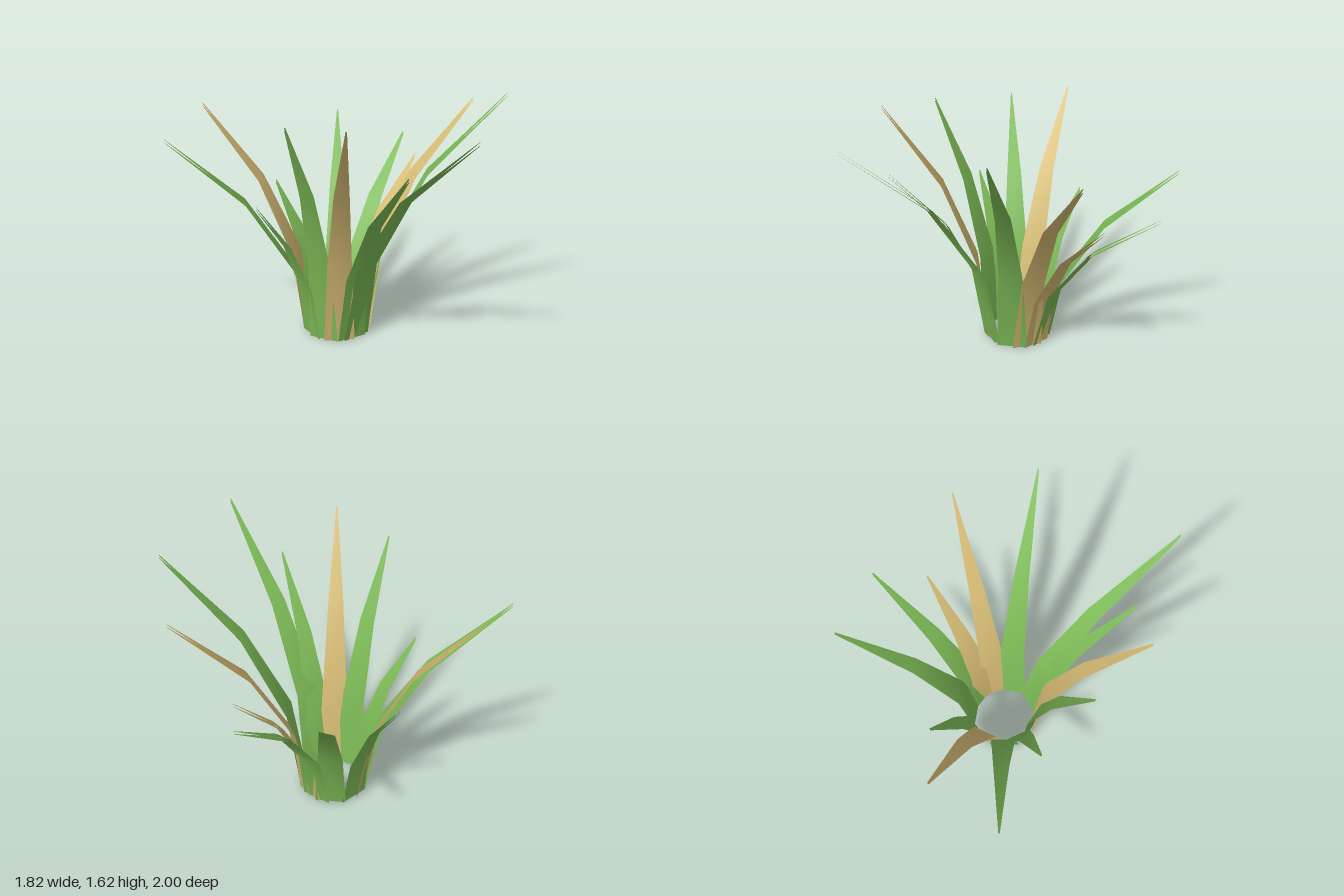
import * as THREE from 'three';

const BASE = { x: -0.05, z: -0.225, radius: 0.2 };
const GAP = 0.02; // height between the upper and lower skin of a blade

// Stations from root to tip: share of outward reach, share of height, half width
const STATIONS = [
  [0, 0, 0.1],
  [1 / 9, 0.349, 0.078],
  [4 / 9, 0.683, 0.048],
  [1, 1, 0.004],
];

// Tip of every blade: x, y, z, dry or fresh
const BLADES = [
  [-0.49, 1.49, -1.0, true],
  [-0.08, 0.92, -0.78, false],
  [0.65, 1.24, -0.94, false],
  [0.91, 1.11, -0.53, false],
  [0.73, 1.04, -0.25, true],
  [0.91, 1.47, 0.1, true],
  [0.67, 1.625, 0.56, false],
  [-0.14, 1.575, 1.0, false],
  [-0.27, 1.305, 0.61, false],
  [-0.59, 1.61, 0.44, true],
  [-0.65, 1.555, 0.0, false],
  [-0.62, 0.98, -0.33, false],
  [-0.91, 1.365, -0.83, false],
];

// Two thin curved skins sweeping from the root ring out to the tip
function bladeGeometry(tipX, tipY, tipZ) {
  const dx = tipX - BASE.x, dz = tipZ - BASE.z;
  const length = Math.hypot(dx, dz);
  const ux = dx / length, uz = dz / length;
  const positions = [], index = [];

  for (const upper of [false, true]) {
    const start = positions.length / 3;
    STATIONS.forEach(([reach, rise, half], i) => {
      const r = BASE.radius + (length - BASE.radius) * reach;
      const x = BASE.x + ux * r, z = BASE.z + uz * r;
      const y = (tipY - GAP) * rise + (upper ? Math.min(GAP, 0.006 + GAP * rise) : 0);
      positions.push(x - uz * half, y, z + ux * half, x + uz * half, y, z - ux * half);
      if (i === 0) return;
      const a = start + 2 * (i - 1), b = a + 1, c = a + 2, d = a + 3;
      if (upper) index.push(a, c, b, b, c, d);
      else index.push(a, b, c, b, d, c);
    });
  }

  const geometry = new THREE.BufferGeometry();
  geometry.setAttribute('position', new THREE.Float32BufferAttribute(positions, 3));
  geometry.setIndex(index);
  geometry.computeVertexNormals();
  return geometry;
}

export function createModel() {
  const fresh = new THREE.MeshStandardMaterial({ color: 0x7cba56, side: THREE.DoubleSide });
  fresh.name = 'freshGreen';
  const dry = new THREE.MeshStandardMaterial({ color: 0xd6bb74, side: THREE.DoubleSide });
  dry.name = 'dryStraw';

  const tuft = new THREE.Group();
  tuft.name = 'grassTuft';
  BLADES.forEach(([x, y, z, isDry], i) => {
    const blade = new THREE.Mesh(bladeGeometry(x, y, z), isDry ? dry : fresh);
    blade.name = `${isDry ? 'dry' : 'fresh'}Blade${i + 1}`;
    tuft.add(blade);
  });
  return tuft;
}
